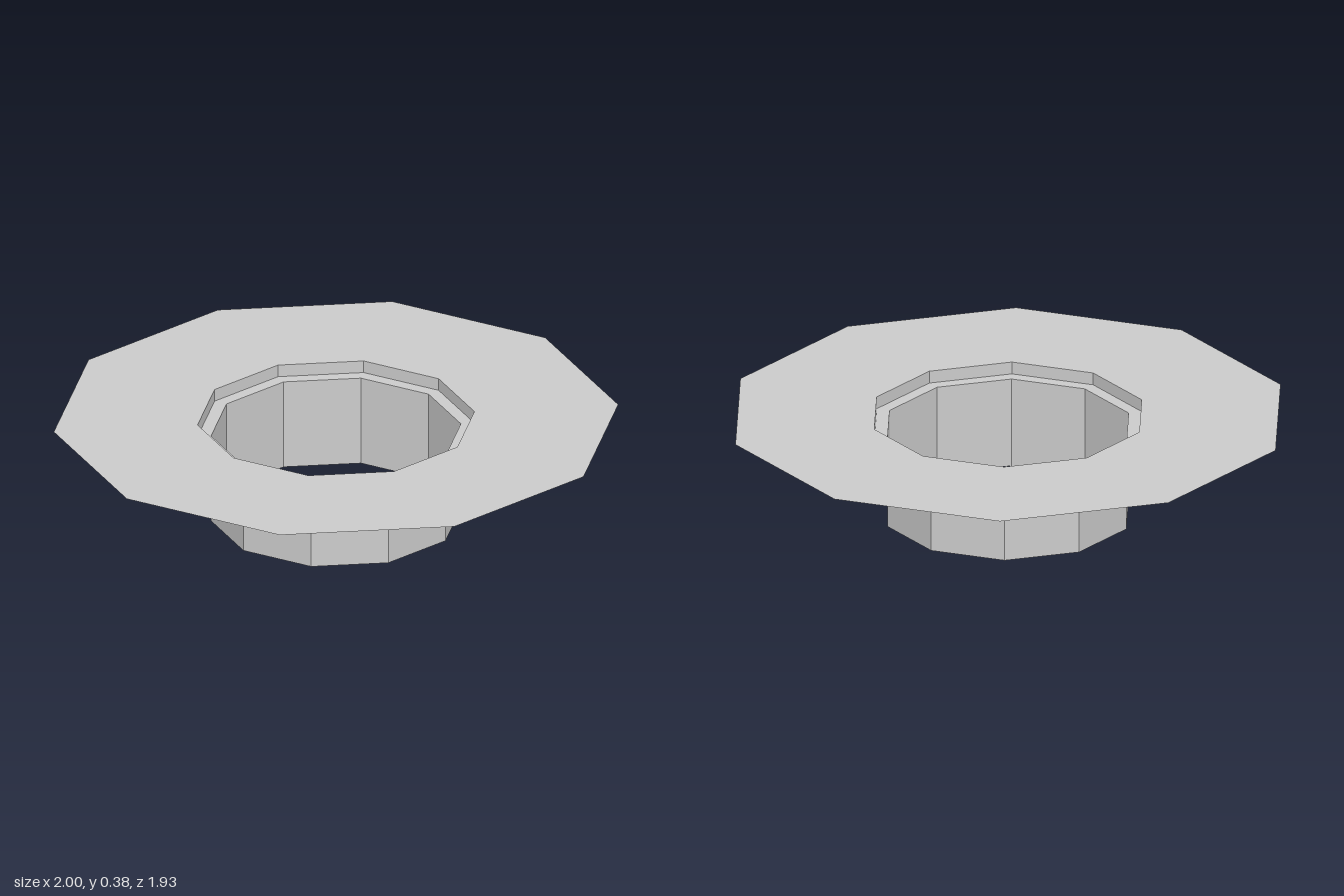
import * as THREE from 'three';

const SIDES = 10;
const TWIST = THREE.MathUtils.degToRad(15);

const material = new THREE.MeshStandardMaterial({
  color: 0xcccccc,
  flatShading: true,
  side: THREE.DoubleSide,
});

// One ten-sided band between two rings, each given as [radius, height]
function band(name, from, to) {
  const profile = [from, to].map(([r, y]) => new THREE.Vector2(r, y));
  const geometry = new THREE.LatheGeometry(profile, SIDES, TWIST).toNonIndexed();
  geometry.computeVertexNormals();
  const mesh = new THREE.Mesh(geometry, material);
  mesh.name = name;
  return mesh;
}

export function createModel() {
  const group = new THREE.Group();
  group.name = 'flangedSleeve';

  const tubeBottom = [0.443, 0];
  const tubeTop = [0.443, 0.33];
  const recessBottom = [0.491, 0.33];
  const recessTop = [0.491, 0.375];
  const flangeEdge = [1.001, 0.375];

  group.add(
    band('tube', tubeBottom, tubeTop),
    band('ledge', tubeTop, recessBottom),
    band('recessWall', recessBottom, recessTop),
    band('flange', recessTop, flangeEdge), // thin open sheet
  );
  return group;
}
